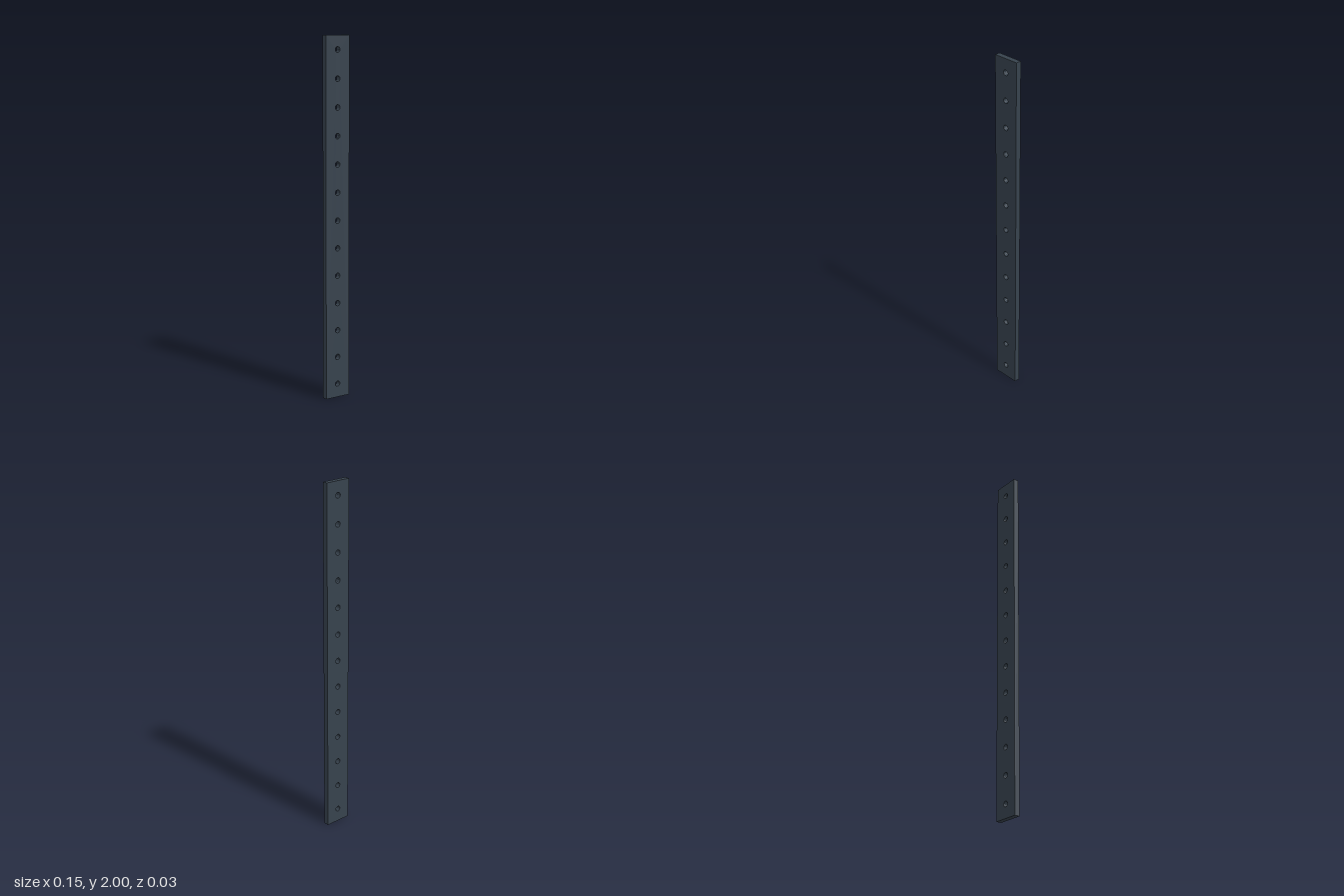
import * as THREE from 'three';
import { toCreasedNormals } from 'three/addons/utils/BufferGeometryUtils.js';

const HOLES = 13;
const HEIGHT = 2;
const PITCH = HEIGHT / HOLES; // hole spacing, equal to the strip width
const THICKNESS = 0.0308;
const HOLE_RADIUS = 0.0154;

export function createModel() {
  const group = new THREE.Group();
  group.name = 'perforatedStrip';

  // Rectangular outline standing on y = 0
  const w = PITCH / 2;
  const outline = new THREE.Shape();
  outline.moveTo(-w, 0);
  outline.lineTo(w, 0);
  outline.lineTo(w, HEIGHT);
  outline.lineTo(-w, HEIGHT);
  outline.closePath();

  // Evenly spaced round through-holes along the centre line
  for (let i = 0; i < HOLES; i++) {
    const hole = new THREE.Path();
    hole.absarc(0, (i + 0.5) * PITCH, HOLE_RADIUS, 0, Math.PI * 2, true);
    outline.holes.push(hole);
  }

  // Flat bar, with smooth hole walls and sharp edges
  const extruded = new THREE.ExtrudeGeometry(outline, {
    depth: THICKNESS, bevelEnabled: false, curveSegments: 24,
  });
  extruded.translate(0, 0, -THICKNESS / 2);
  const bar = new THREE.Mesh(
    toCreasedNormals(extruded, Math.PI / 6),
    new THREE.MeshStandardMaterial({ color: 0x37424d }),
  );
  bar.name = 'flatBar';
  group.add(bar);

  return group;
}
